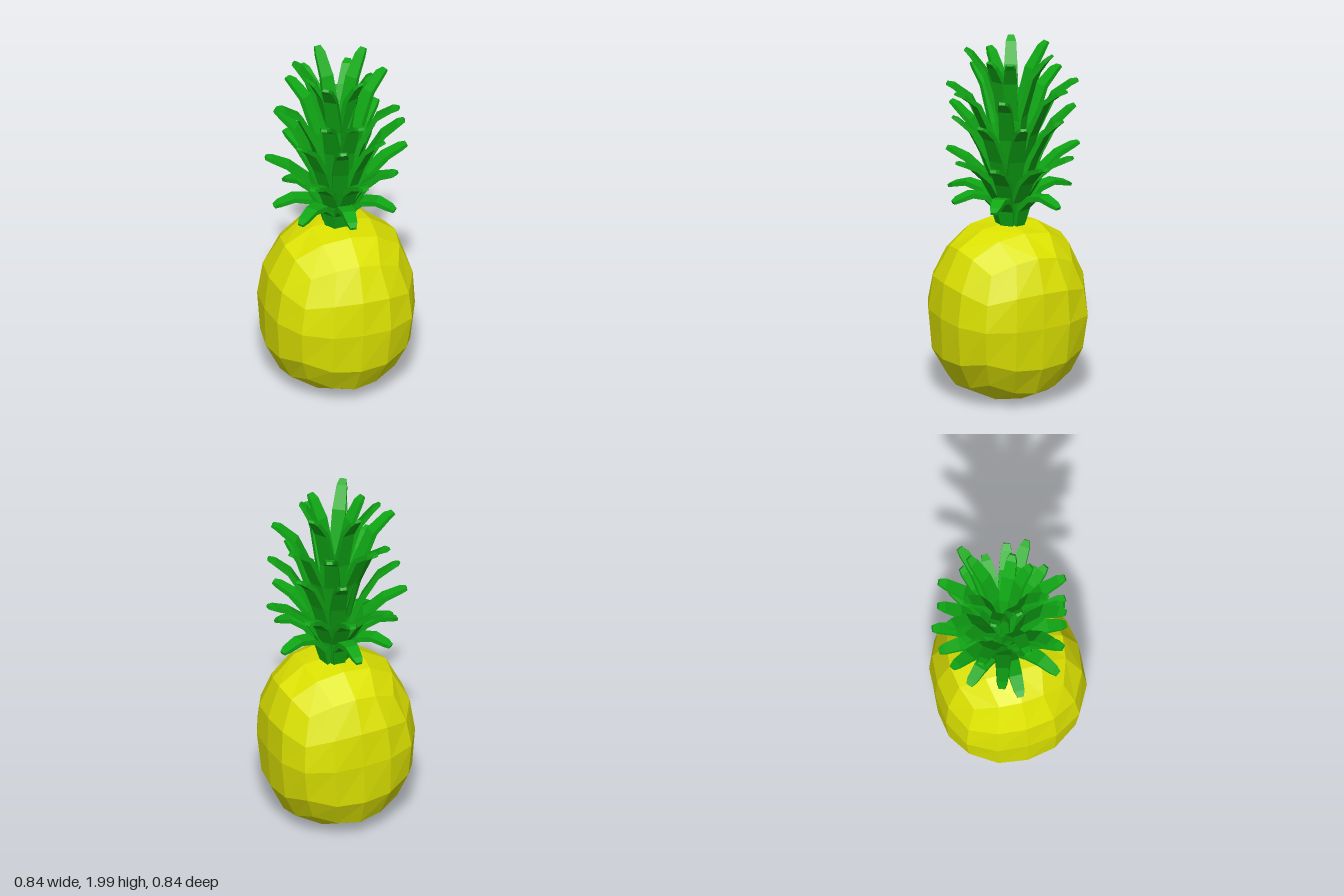
import * as THREE from 'three';

const skin = new THREE.MeshStandardMaterial({ color: 0xdce200, flatShading: true });
const green = new THREE.MeshStandardMaterial({ color: 0x10a815, flatShading: true });

// Faceted fruit: a 4 x 4 x 4 box grid rounded into a superellipsoid
function createFruit() {
  const geometry = new THREE.BoxGeometry(2, 2, 2, 4, 4, 4);
  const position = geometry.attributes.position;
  const power = 2.72;
  const v = new THREE.Vector3();
  for (let i = 0; i < position.count; i++) {
    v.fromBufferAttribute(position, i);
    const corner = 1 - 0.08 * Math.abs(v.x * v.y * v.z);
    // even out the angles between the grid lines
    v.set(...v.toArray().map((c) => Math.tan(c * 0.245 * Math.PI)));
    const length = v.toArray().reduce((sum, c) => sum + Math.abs(c) ** power, 0) ** (1 / power);
    v.multiplyScalar(corner / length);
    // the lower half is a little fuller
    if (v.y < 0) v.y = -(Math.abs(v.y) ** 0.8);
    // slightly lopsided towards the back left
    const shiftX = 0.008 - 0.013 * Math.abs(v.x) ** 8;
    const shiftZ = -0.011 + 0.011 * Math.abs(v.z) ** 8;
    position.setXYZ(i, v.x * 0.415 + shiftX, v.y * 0.499, v.z * 0.417 + shiftZ);
  }
  const fruit = new THREE.Mesh(geometry, skin);
  fruit.name = 'fruit';
  fruit.position.y = 0.5;
  fruit.rotation.z = -0.035;
  return fruit;
}

// Leaf: a rectangular section swept along [radius, height] points, leaning out to +z
function leafGeometry(profile) {
  const curve = new THREE.SplineCurve(profile.map(([r, y]) => new THREE.Vector2(r, y)));
  const stations = [0, 0.25, 0.5, 0.72, 0.9, 1];
  const halfWidths = [0.033, 0.042, 0.043, 0.037, 0.029, 0.017];
  const halfDepths = [0.014, 0.016, 0.016, 0.014, 0.012, 0.008];
  const vertices = [];
  const index = [];
  stations.forEach((t, i) => {
    const p = curve.getPoint(t);
    const d = curve.getTangent(t);
    for (const [sx, sn] of [[1, 1], [-1, 1], [-1, -1], [1, -1]]) {
      const n = sn * halfDepths[i];
      vertices.push(sx * halfWidths[i], p.y + n * d.x, p.x - n * d.y);
    }
    if (i === 0) return;
    for (let k = 0; k < 4; k++) {
      const a = (i - 1) * 4 + k;
      const b = (i - 1) * 4 + ((k + 1) % 4);
      index.push(a, b, b + 4, a, b + 4, a + 4);
    }
  });
  const end = (stations.length - 1) * 4;
  index.push(0, 2, 1, 0, 3, 2, end, end + 1, end + 2, end, end + 2, end + 3);
  const geometry = new THREE.BufferGeometry();
  geometry.setAttribute('position', new THREE.Float32BufferAttribute(vertices, 3));
  geometry.setIndex(index);
  geometry.computeVertexNormals();
  return geometry;
}

// Leaf tiers from the lowest to the tallest; angles in degrees from +x towards +z.
// Every second leaf spreads less, by the factor "inner".
const tiers = [
  { profile: [[0.06, 0.98], [0.09, 1.09], [0.17, 1.17], [0.27, 1.19], [0.37, 1.155]],
    inner: 0.94, angles: [-16, 95, 182, 45, -88, -130, 143] },
  { profile: [[0.05, 0.98], [0.09, 1.14], [0.17, 1.27], [0.29, 1.37], [0.4, 1.41]],
    inner: 0.9, angles: [0, 84, -162, 45, -81, 132, -118, -42] },
  { profile: [[0.04, 0.98], [0.08, 1.2], [0.16, 1.4], [0.26, 1.57], [0.365, 1.645]],
    inner: 0.9, angles: [18, 60, 145, 104, -143, -30, -74] },
  { profile: [[0.03, 0.98], [0.07, 1.28], [0.14, 1.53], [0.25, 1.75], [0.37, 1.815]],
    inner: 0.95, angles: [-26, 122, 175, 37, -104, 88, -62, -124] },
  { profile: [[0.01, 0.98], [0.03, 1.3], [0.07, 1.62], [0.15, 1.88], [0.25, 1.99]],
    inner: 0.75, angles: [125, 170, -36, 68, -98, 30, -150] },
];

function createCrown() {
  const crown = new THREE.Group();
  crown.name = 'crown';
  crown.position.set(0.013, 0, -0.022);
  tiers.forEach(({ profile, inner, angles }, t) => {
    const tier = new THREE.Group();
    tier.name = `leafTier${t + 1}`;
    const outerLeaf = leafGeometry(profile);
    const innerLeaf = leafGeometry(profile.map(([r, y]) => [r * inner, y - (y - 0.98) * 0.025]));
    angles.forEach((angle, i) => {
      const leaf = new THREE.Mesh(i % 2 ? innerLeaf : outerLeaf, green);
      leaf.name = 'leaf';
      leaf.rotation.y = Math.PI / 2 - THREE.MathUtils.degToRad(angle);
      tier.add(leaf);
    });
    crown.add(tier);
  });
  return crown;
}

export function createModel() {
  const model = new THREE.Group();
  model.name = 'pineapple';
  model.add(createFruit(), createCrown());
  return model;
}
